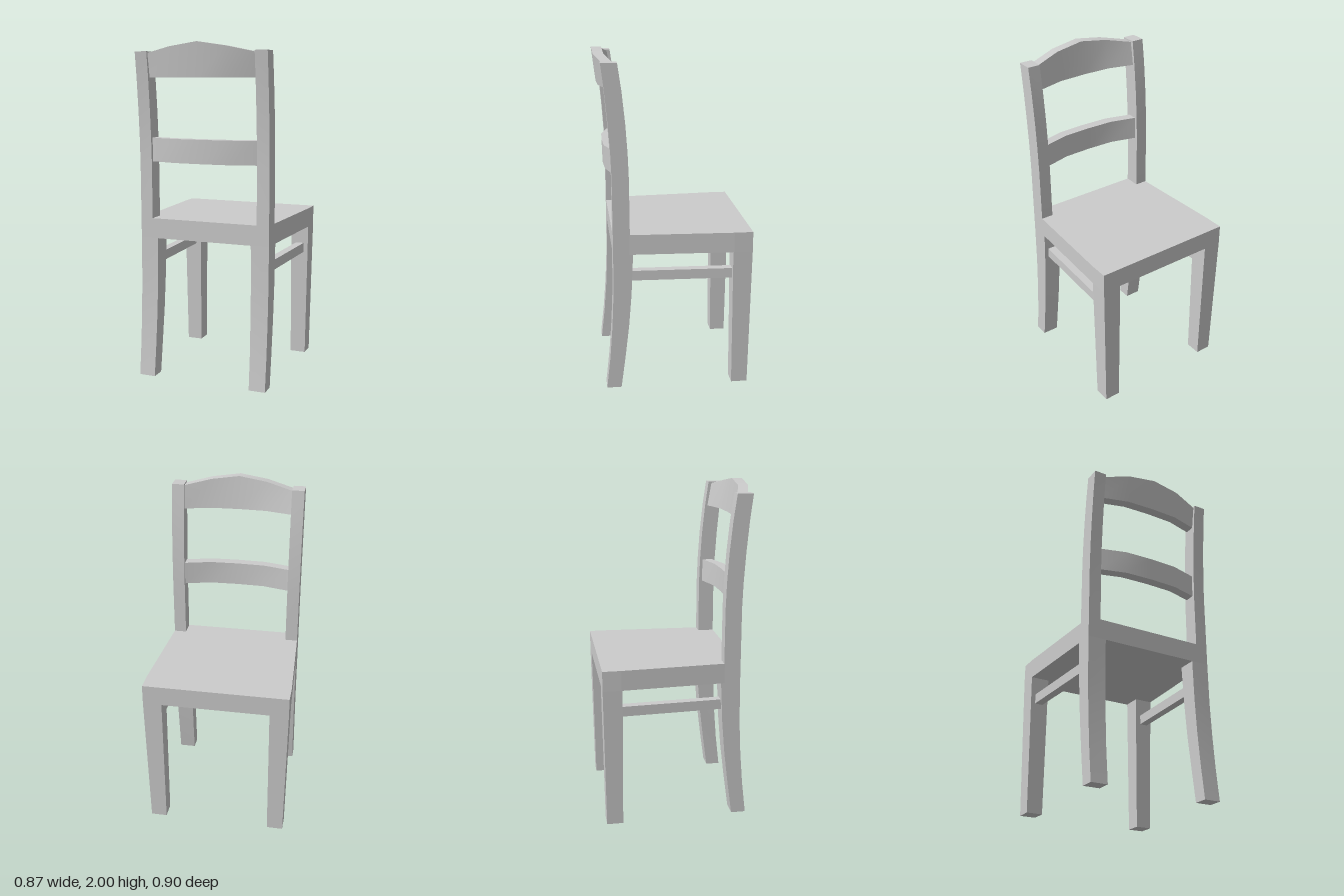
import * as THREE from 'three';
import { toCreasedNormals } from 'three/addons/utils/BufferGeometryUtils.js';

const material = new THREE.MeshStandardMaterial({ color: 0xcccccc });

// Solid bar through a run of four-cornered cross-sections, capped at both ends
function loft(rings) {
  const tris = [];
  const quad = (a, b, c, d) => tris.push([a, b, c], [a, c, d]);
  for (let i = 0; i < rings.length - 1; i++) {
    const p = rings[i], q = rings[i + 1];
    for (let k = 0; k < 4; k++) {
      const n = (k + 1) % 4;
      quad(p[k], p[n], q[n], q[k]);
    }
  }
  const first = rings[0], last = rings[rings.length - 1];
  quad(first[3], first[2], first[1], first[0]);
  quad(last[0], last[1], last[2], last[3]);

  // Turn the faces outward whichever way the sections run
  const v = (p) => new THREE.Vector3(...p);
  const volume = tris.reduce((sum, [a, b, c]) => sum + v(a).dot(v(b).cross(v(c))), 0);
  if (volume < 0) tris.forEach((t) => t.reverse());

  const geometry = new THREE.BufferGeometry();
  geometry.setAttribute('position', new THREE.Float32BufferAttribute(tris.flat(2), 3));
  return toCreasedNormals(geometry, 0.5);
}

// Level rectangle for legs and posts
const level = (s, y, x0, x1, z0, z1) =>
  [[s * x0, y, z0], [s * x1, y, z0], [s * x1, y, z1], [s * x0, y, z1]];

function add(group, name, geometry) {
  const mesh = new THREE.Mesh(geometry, material);
  mesh.name = name;
  group.add(mesh);
}

export function createModel() {
  const chair = new THREE.Group();
  chair.name = 'chair';

  // Seat: tapered slab, narrower at the backrest
  const half = [[0.435, -0.45], [0.435, -0.34], [0.405, 0.27], [0.405, 0.365]];
  const outline = [...half, ...half.map(([x, z]) => [-x, z]).reverse()];
  const seatShape = new THREE.Shape(outline.map(([x, z]) => new THREE.Vector2(x, -z)));
  const seat = new THREE.ExtrudeGeometry(seatShape, { depth: 0.12, bevelEnabled: false });
  seat.rotateX(-Math.PI / 2).translate(0, 0.85, 0);
  add(chair, 'seat', seat);

  for (const s of [1, -1]) {
    const side = s > 0 ? 'left' : 'right';

    // Straight tapered leg on the open side of the seat
    add(chair, `${side}StraightLeg`, loft([
      level(s, 0, 0.325, 0.422, -0.44, -0.343),
      level(s, 0.85, 0.322, 0.435, -0.45, -0.335),
    ]));

    // Curved leg under the backrest: y, inner x, inner z, outer z
    add(chair, `${side}CurvedLeg`, loft([
      [0, 0.305, 0.33, 0.417],
      [0.2, 0.303, 0.303, 0.394],
      [0.4, 0.3, 0.279, 0.378],
      [0.6, 0.298, 0.262, 0.368],
      [0.85, 0.295, 0.25, 0.365],
    ].map(([y, x, z0, z1]) => level(s, y, x, 0.405, z0, z1))));

    // Backrest post, sweeping backward at the top: y, inner z, outer z
    add(chair, `${side}Post`, loft([
      [0.97, 0.267, 0.365],
      [1.3, 0.268, 0.365],
      [1.45, 0.273, 0.37],
      [1.62, 0.284, 0.381],
      [1.8, 0.302, 0.397],
      [1.95, 0.323, 0.415],
    ].map(([y, z0, z1]) => level(s, y, 0.33, 0.405, z0, z1))));

    // Stretcher between the legs, following the seat taper
    add(chair, `${side}Stretcher`, loft([[-0.34, 0.355], [0.262, 0.33]].map(([z, x]) => [
      [s * x, 0.68, z], [s * (x + 0.05), 0.68, z],
      [s * (x + 0.05), 0.74, z], [s * x, 0.74, z],
    ])));
  }

  // Bowed cross rails: [x, bow in z, top y] at five stations
  const rail = (stations, bottomY, bottomZ, topZ, depth) => loft(
    stations.map(([x, bow, topY]) => [
      [x, bottomY, bottomZ + bow], [x, bottomY, bottomZ + bow + depth],
      [x, topY, topZ + bow + depth], [x, topY, topZ + bow],
    ]));
  const stations = (endY, midY, centreY) => [
    [-0.335, -0.05, endY], [-0.17, -0.006, midY], [0, 0, centreY],
    [0.17, -0.006, midY], [0.335, -0.05, endY],
  ];
  add(chair, 'middleRail', rail(stations(1.45, 1.45, 1.45), 1.31, 0.335, 0.339, 0.061));
  add(chair, 'topRail', rail(stations(1.94, 1.975, 2), 1.8, 0.366, 0.39, 0.06));

  return chair;
}
